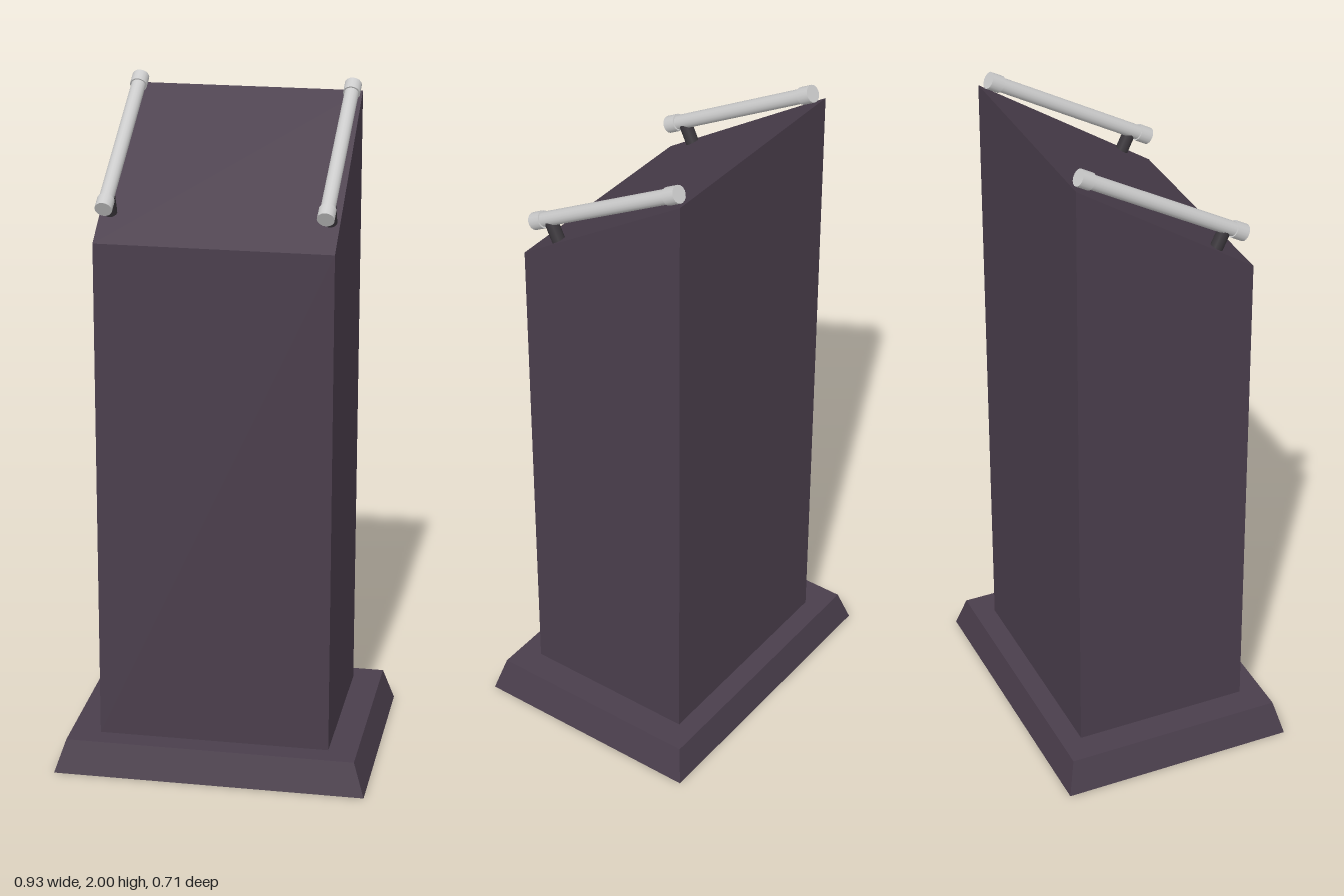
import * as THREE from 'three';

const bodyMat = new THREE.MeshStandardMaterial({ color: 0x4a3e4c, flatShading: true });
const pegMat = new THREE.MeshStandardMaterial({ color: 0x3a363b });
const railMat = new THREE.MeshStandardMaterial({ color: 0xcccccc });

function add(parent, name, geometry, material) {
  const mesh = new THREE.Mesh(geometry, material);
  mesh.name = name;
  parent.add(mesh);
  return mesh;
}

// Box standing on y = y0 whose top vertices are moved by a rule
function shapedBox(w, h, d, y0, moveTop) {
  const geo = new THREE.BoxGeometry(w, h, d).translate(0, y0 + h / 2, 0);
  const p = geo.attributes.position;
  const v = new THREE.Vector3();
  for (let i = 0; i < p.count; i++) {
    v.fromBufferAttribute(p, i);
    if (v.y > y0 + h / 2) moveTop(v);
    p.setXYZ(i, v.x, v.y, v.z);
  }
  geo.computeVertexNormals();
  return geo;
}

// Cylinder running between two points
function rod(parent, name, a, b, radius, material) {
  const dir = b.clone().sub(a);
  const geo = new THREE.CylinderGeometry(radius, radius, dir.length(), 16);
  const mesh = add(parent, name, geo, material);
  mesh.position.copy(a).add(b).multiplyScalar(0.5);
  mesh.quaternion.setFromUnitVectors(new THREE.Vector3(0, 1, 0), dir.normalize());
}

export function createModel() {
  const model = new THREE.Group();
  model.name = 'lectern';

  // Plinth with sloping sides
  add(model, 'base', shapedBox(0.926, 0.1, 0.712, 0, (v) => {
    v.x *= 0.928;
    v.z *= 0.928;
  }), bodyMat);

  // Column with slanted reading surface, high at the back
  const column = add(model, 'column', shapedBox(0.685, 1.5, 0.53, 0.1, (v) => {
    v.y = v.z > 0 ? 1.605 : 1.955;
  }), bodyMat);
  column.position.set(0.002, 0, -0.002);

  // A capped rail along each side of the reading surface
  for (const [name, x] of [['leftRail', 0.317], ['rightRail', -0.31]]) {
    const rail = new THREE.Group();
    rail.name = name;
    rail.position.x = x;
    model.add(rail);
    const low = new THREE.Vector3(-0.002, 1.7, 0.246);
    const high = new THREE.Vector3(0.002, 1.977, -0.246);
    const at = (t) => low.clone().lerp(high, t);
    rod(rail, 'railBar', at(0.05), at(0.95), 0.021, railMat);
    rod(rail, 'frontCap', low, at(0.07), 0.025, railMat);
    rod(rail, 'backCap', at(0.93), high, 0.025, railMat);
    // Short peg holding the rail off the surface
    rod(rail, 'peg', new THREE.Vector3(0, 1.655, 0.155), new THREE.Vector3(0, 1.725, 0.188), 0.019, pegMat);
  }
  return model;
}
